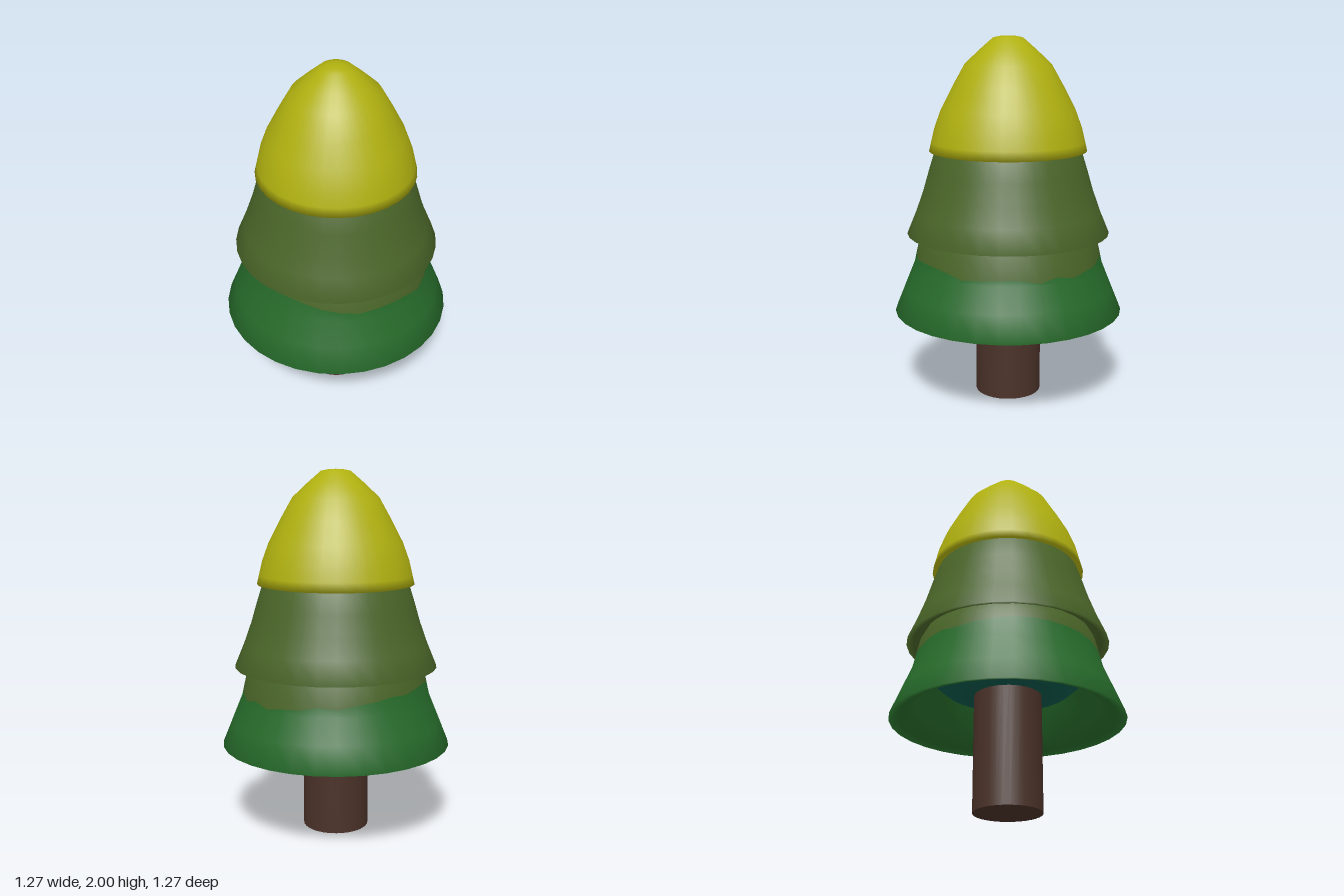
import * as THREE from 'three';

const SIDES = 32;

const material = (name, color, side = THREE.FrontSide) => {
  const m = new THREE.MeshStandardMaterial({ color, side });
  m.name = name;
  return m;
};

// Smooth turned shape from [radius, height] pairs
const turned = (profile) =>
  new THREE.LatheGeometry(profile.map(([r, y]) => new THREE.Vector2(r, y)), SIDES);

// Ragged height of the two-tone edge, one value per side, starting at the front
const EDGE = [
  0.805, 0.81, 0.81, 0.80, 0.775, 0.785, 0.79, 0.79,
  0.77, 0.79, 0.77, 0.785, 0.79, 0.81, 0.80, 0.82,
  0.83, 0.845, 0.84, 0.855, 0.86, 0.85, 0.865, 0.87,
  0.88, 0.88, 0.875, 0.87, 0.865, 0.855, 0.835, 0.82,
];
const edgeRadius = (y) => 0.525 - (y - 0.76) * 0.22;

// Moves one row of a turned shape onto the ragged edge
function bendRow(geometry, row, rowCount) {
  const pos = geometry.attributes.position;
  for (let i = 0; i <= SIDES; i++) {
    const y = EDGE[i % SIDES];
    const r = edgeRadius(y);
    const a = (i / SIDES) * Math.PI * 2;
    pos.setXYZ(i * rowCount + row, r * Math.sin(a), y, r * Math.cos(a));
  }
  return geometry;
}

export function createModel() {
  const group = new THREE.Group();
  const brown = material('barkBrown', 0x4a3228);
  const green = material('deepGreen', 0x266a2a, THREE.DoubleSide);
  const olive = material('oliveGreen', 0x4a6528, THREE.DoubleSide);
  const yellow = material('mossYellow', 0xb0b010, THREE.DoubleSide);
  const teal = material('darkTeal', 0x0c5a4c, THREE.DoubleSide);

  const add = (name, geometry, mat) => {
    const mesh = new THREE.Mesh(geometry, mat);
    mesh.name = name;
    group.add(mesh);
    return mesh;
  };

  // Trunk
  add('trunk', new THREE.CylinderGeometry(0.183, 0.183, 0.75, SIDES), brown).position.y = 0.375;

  // Rounded core seen from below inside the lowest tier
  add('innerCore', turned([[0, 0.62], [0.25, 0.64], [0.35, 0.68], [0.43, 0.75]]), teal);

  // Lowest tier: hollow green skirt with a ragged olive band above it
  const skirt = [[0.42, 0.74], [0.50, 0.56], [0.58, 0.505], [0.635, 0.49], [0.58, 0.625], [0.525, 0.76], [0.515, 0.80]];
  add('lowerTier', bendRow(turned(skirt), skirt.length - 1, skirt.length), green);
  const band = [[0.515, 0.80], [0.487, 0.93], [0.44, 1.02]];
  add('lowerTierBand', bendRow(turned(band), 0, band.length), olive);

  // Middle tier
  add('middleTier', turned([
    [0.44, 1.02], [0.47, 0.97], [0.52, 0.94], [0.56, 0.93],
    [0.51, 1.05], [0.467, 1.17], [0.435, 1.28], [0.402, 1.385], [0.36, 1.46],
  ]), olive);

  // Domed top tier
  add('topTier', turned([
    [0.34, 1.46], [0.385, 1.40], [0.432, 1.385], [0.42, 1.435], [0.402, 1.51], [0.365, 1.61],
    [0.30, 1.735], [0.235, 1.85], [0.155, 1.925], [0.08, 1.99], [0.04, 1.998], [0, 2],
  ]), yellow);

  return group;
}
